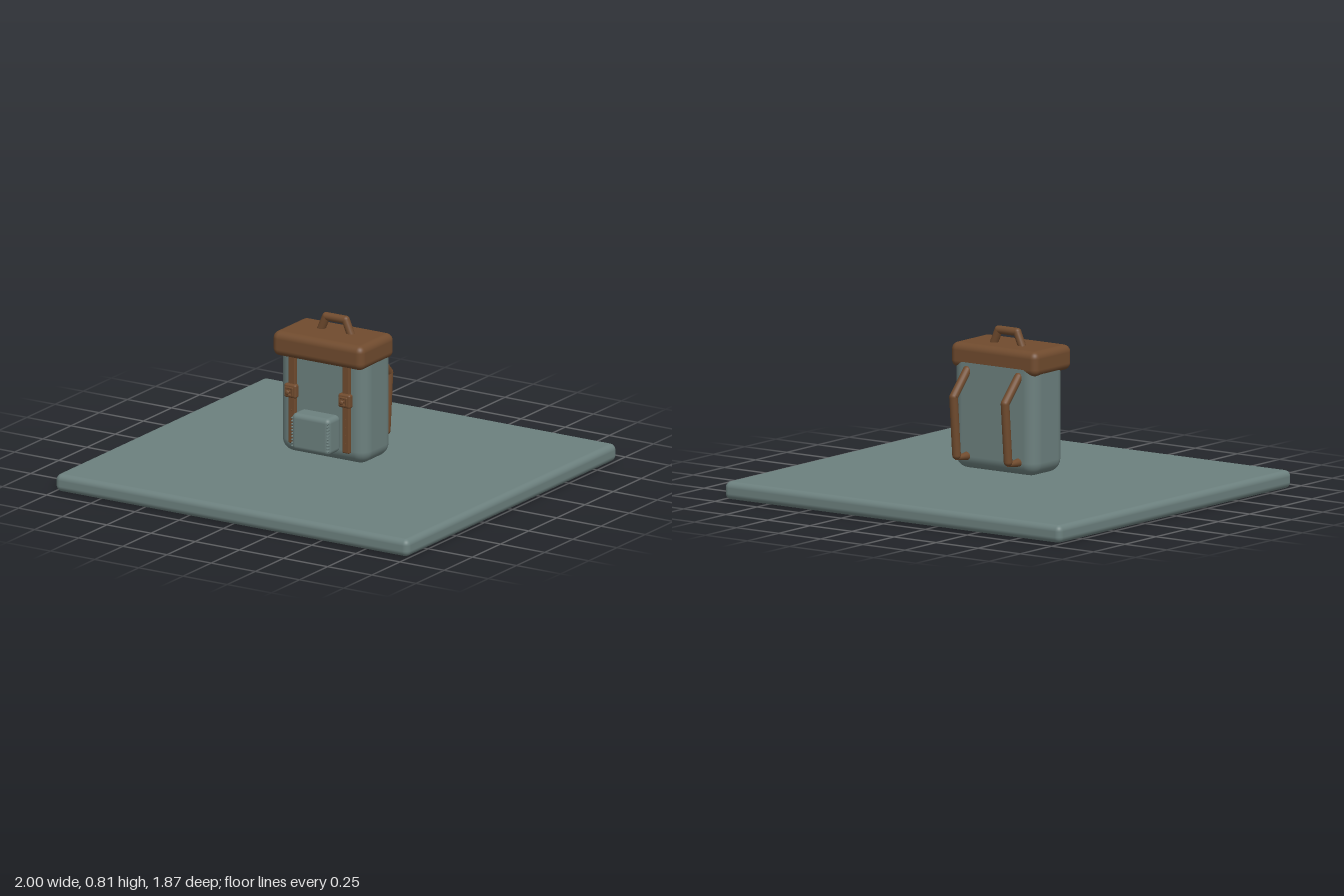
import * as THREE from 'three';
import { RoundedBoxGeometry } from 'three/addons/geometries/RoundedBoxGeometry.js';

const canvas = new THREE.MeshStandardMaterial({ color: 0x6c807e });
canvas.name = 'grey green canvas';
const leather = new THREE.MeshStandardMaterial({ color: 0x704b2e });
leather.name = 'brown leather';

export function createModel() {
  const model = new THREE.Group();

  const add = (name, geometry, material, x, y, z, parent = model) => {
    const mesh = new THREE.Mesh(geometry, material);
    mesh.name = name;
    mesh.position.set(x, y, z);
    parent.add(mesh);
    return mesh;
  };

  // Box with rounded edges, given by its low and high corners
  const block = (name, material, lo, hi, radius, parent = model) => {
    const s = hi.map((v, i) => v - lo[i]);
    const c = hi.map((v, i) => (v + lo[i]) / 2);
    return add(name, new RoundedBoxGeometry(s[0], s[1], s[2], 5, radius), material, ...c, parent);
  };

  // Round bar bent along straight runs, with a ball at each joint
  const bentBar = (name, points, radius, parent = model) => {
    const bar = new THREE.Group();
    bar.name = name;
    points.forEach((p, i) => {
      add(name + 'Joint', new THREE.SphereGeometry(radius, 16, 12), leather, p.x, p.y, p.z, bar);
      if (i === 0) return;
      const q = points[i - 1];
      const dir = p.clone().sub(q);
      const mid = p.clone().add(q).multiplyScalar(0.5);
      const run = add(name + 'Run', new THREE.CylinderGeometry(radius, radius, dir.length(), 16),
        leather, mid.x, mid.y, mid.z, bar);
      run.quaternion.setFromUnitVectors(new THREE.Vector3(0, 1, 0), dir.normalize());
    });
    parent.add(bar);
  };
  const v = (x, y, z) => new THREE.Vector3(x, y, z);

  // Base slab
  block('base', canvas, [-1, 0, -0.933], [1, 0.087, 0.933], 0.03);

  // Bag body, lid and front pocket
  block('body', canvas, [-0.247, 0.118, -0.125], [0.247, 0.7, 0.13], 0.065);
  block('lid', leather, [-0.257, 0.605, -0.125], [0.257, 0.727, 0.175], 0.035);
  block('pocket', canvas, [-0.11, 0.172, 0.12], [0.106, 0.356, 0.23], 0.024);

  // Stitches down both sides of the pocket
  for (const x of [-0.102, 0.098]) {
    for (let i = 0; i < 10; i++) {
      add('pocketStitch', new RoundedBoxGeometry(0.009, 0.008, 0.02, 2, 0.003), canvas,
        x, 0.195 + i * 0.0155, 0.224);
    }
  }

  // Carrying handle
  bentBar('handle', [v(-0.085, 0.72, 0), v(-0.055, 0.79, 0), v(0.055, 0.79, 0), v(0.085, 0.72, 0)], 0.02);

  for (const side of [-1, 1]) {
    const x = side * 0.153;

    // Front strap with punched studs
    block('frontStrap', leather, [x - 0.02, 0.178, 0.133], [x + 0.02, 0.62, 0.155], 0.006);
    for (let i = 0; i < 4; i++) {
      const stud = add('strapStud', new THREE.CylinderGeometry(0.004, 0.004, 0.004, 10), leather,
        x, 0.225 + i * 0.04, 0.156);
      stud.rotation.x = Math.PI / 2;
    }

    // Buckle: plate, raised frame and pin
    const buckle = new THREE.Group();
    buckle.name = 'buckle';
    buckle.position.set(x, 0.443, 0);
    model.add(buckle);
    block('bucklePlate', leather, [-0.034, -0.034, 0.14], [0.034, 0.034, 0.172], 0.01, buckle);
    for (const s of [-1, 1]) {
      add('buckleFrameSide', new RoundedBoxGeometry(0.009, 0.044, 0.012, 2, 0.003), leather,
        s * 0.019, 0, 0.177, buckle);
      add('buckleFrameEnd', new RoundedBoxGeometry(0.044, 0.009, 0.012, 2, 0.003), leather,
        0, s * 0.018, 0.177, buckle);
    }
    const pin = add('bucklePin', new THREE.CylinderGeometry(0.006, 0.006, 0.03, 12), leather,
      0, 0, 0.182, buckle);
    pin.rotation.x = Math.PI / 2;
    const head = add('pinHead', new THREE.SphereGeometry(0.012, 14, 10), leather, 0, 0, 0.195, buckle);
    head.scale.z = 0.5;

    // Shoulder strap with its tapered lower anchor
    bentBar('shoulderStrap', [v(x, 0.6, -0.122), v(x, 0.485, -0.23), v(x, 0.2, -0.206)], 0.021);
    const anchor = add('strapAnchor', new THREE.CylinderGeometry(0.009, 0.022, 0.1, 16), leather,
      x, 0.185, -0.16);
    anchor.rotation.x = -Math.PI / 2;
  }

  return model;
}
